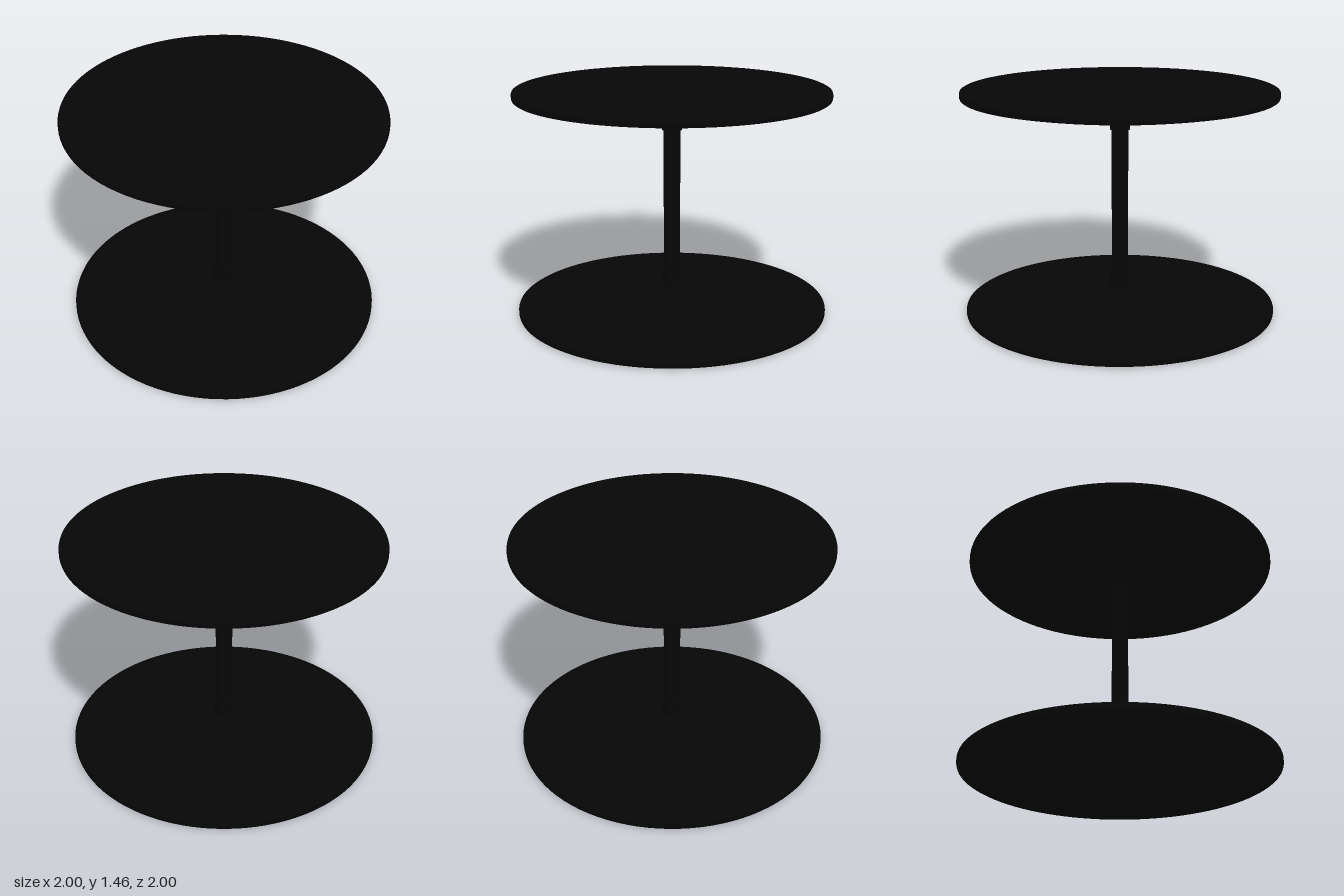
import * as THREE from 'three';
import { toCreasedNormals } from 'three/addons/utils/BufferGeometryUtils.js';

const SEGMENTS = 96;
const HEIGHT = 1.455;
const DOME = 0.107;
const STEPS = 20;

// Dished disc: shallow hollow underneath, narrow rounded rim, dome above
function discProfile() {
  const points = [];
  for (let i = 0; i <= STEPS; i++) {
    const t = i / STEPS;
    points.push([0.988 * t, DOME * (1 - t * t)]);
  }
  points.push([0.997, 0.005], [1, 0.015], [1, 0.035], [0.997, 0.045]);
  for (let i = STEPS; i >= 0; i--) {
    const t = i / STEPS;
    points.push([0.99 * t, 0.05 + DOME * (1 - t * t)]);
  }
  return points;
}

// Turns a profile upside down, keeping its bottom-to-top order
const flip = (points) => points.map(([r, y]) => [r, HEIGHT - y]).reverse();

export function createModel() {
  const group = new THREE.Group();
  const black = new THREE.MeshStandardMaterial({ color: 0x060606 });
  black.name = 'black';

  const addTurned = (name, points, segments) => {
    const profile = points.map(([r, y]) => new THREE.Vector2(r, y));
    const geometry = toCreasedNormals(new THREE.LatheGeometry(profile, segments), 0.45);
    const mesh = new THREE.Mesh(geometry, black);
    mesh.name = name;
    group.add(mesh);
  };

  // Base and the mirrored table top
  const disc = discProfile();
  addTurned('base', disc, SEGMENTS);
  addTurned('tableTop', flip(disc), SEGMENTS);

  // Central column
  addTurned('column', [[0.053, 0.14], [0.053, HEIGHT - 0.14]], 48);

  // Collars where the column meets each disc
  const collar = [[0.063, 0.14], [0.063, 0.262], [0.05, 0.262]];
  addTurned('lowerCollar', collar, 48);
  addTurned('upperCollar', flip(collar), 48);

  return group;
}
